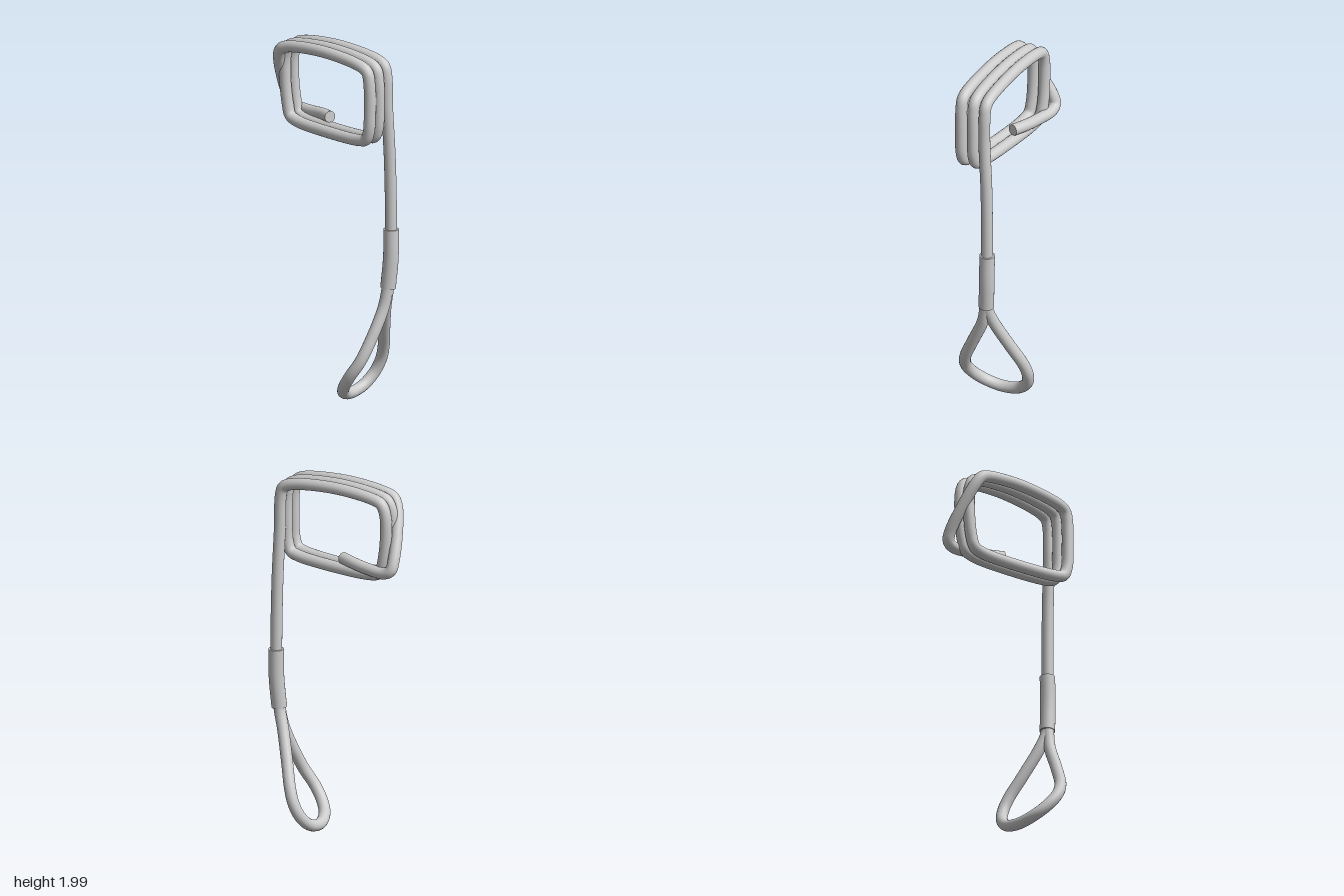
import * as THREE from 'three';

const R = 0.032; // cord radius
const material = new THREE.MeshStandardMaterial({ color: 0xcccccc });

const curveThrough = (points) =>
  new THREE.CatmullRomCurve3(points.map((p) => new THREE.Vector3(...p)), false, 'centripetal');

// Round cord swept along a curve, with flat discs closing both ends
function cord(name, points, segments, radius) {
  const curve = curveThrough(points);
  const group = new THREE.Group();
  group.name = name;
  const body = new THREE.Mesh(new THREE.TubeGeometry(curve, segments, radius, 20, false), material);
  body.name = name + 'Body';
  group.add(body);
  for (const t of [0, 1]) {
    const cap = new THREE.Mesh(new THREE.CircleGeometry(radius, 20), material);
    cap.name = name + 'End';
    const outward = curve.getTangentAt(t).multiplyScalar(t ? 1 : -1);
    cap.position.copy(curve.getPointAt(t));
    cap.quaternion.setFromUnitVectors(new THREE.Vector3(0, 0, 1), outward);
    group.add(cap);
  }
  return group;
}

export function createModel() {
  const model = new THREE.Group();
  model.name = 'coiledCordWithLoop';

  // Long stem rising from the sleeve
  const path = [
    [0.022, 0.9, 0.365], [0.024, 1.05, 0.364], [0.018, 1.4, 0.36],
  ];

  // Three rectangular turns, each stepping sideways along its bottom run
  const frontX = [0.002, -0.068, -0.141];
  const backX = [0.005, -0.062, -0.128];
  for (let i = 0; i < 3; i++) {
    const f = frontX[i], b = backX[i], m = (f + b) / 2;
    path.push(
      [f, 1.7, 0.354], [f, 1.86, 0.35], [f, 1.915, 0.335], [f, 1.94, 0.29],
      [m, 1.967, 0.02],
      [b, 1.945, -0.23], [b, 1.925, -0.28]
    );
    if (i === 2) break;
    const n = frontX[i + 1];
    path.push(
      [b, 1.87, -0.305], [b, 1.72, -0.308], [b, 1.59, -0.29],
      [b - 0.004, 1.535, -0.27], [b - 0.01, 1.515, -0.22],
      [(b + n) / 2, 1.507, 0.03],
      [n + 0.008, 1.52, 0.28], [n + 0.003, 1.535, 0.325], [n, 1.585, 0.347]
    );
  }

  // Free end: slants across the back, then tucks forward into the coil
  path.push(
    [-0.112, 1.88, -0.31], [-0.04, 1.74, -0.35], [0.025, 1.62, -0.368],
    [0.042, 1.575, -0.362], [0.044, 1.553, -0.325],
    [0.022, 1.553, -0.2], [0.0, 1.562, -0.1], [-0.03, 1.567, -0.02]
  );
  model.add(cord('coil', path, 420, R));

  // Crimp sleeve joining stem and hand loop
  model.add(cord('sleeve', [
    [0.025, 1.0, 0.364], [0.022, 0.84, 0.364], [0.013, 0.67, 0.352],
  ], 24, 0.042));

  // Teardrop hand loop leaning backward
  model.add(cord('handLoop', [
    [0.018, 0.74, 0.357], [0.017, 0.65, 0.346], [0.037, 0.56, 0.315],
    [0.1, 0.4, 0.252], [0.155, 0.27, 0.2], [0.167, 0.19, 0.17],
    [0.145, 0.115, 0.14], [0.08, 0.057, 0.119], [-0.02, 0.038, 0.115],
    [-0.11, 0.068, 0.142], [-0.158, 0.125, 0.19], [-0.172, 0.195, 0.243],
    [-0.148, 0.28, 0.293], [-0.083, 0.415, 0.325],
    [-0.015, 0.56, 0.343], [0.005, 0.65, 0.351], [0.014, 0.74, 0.357],
  ], 160, R));

  return model;
}
